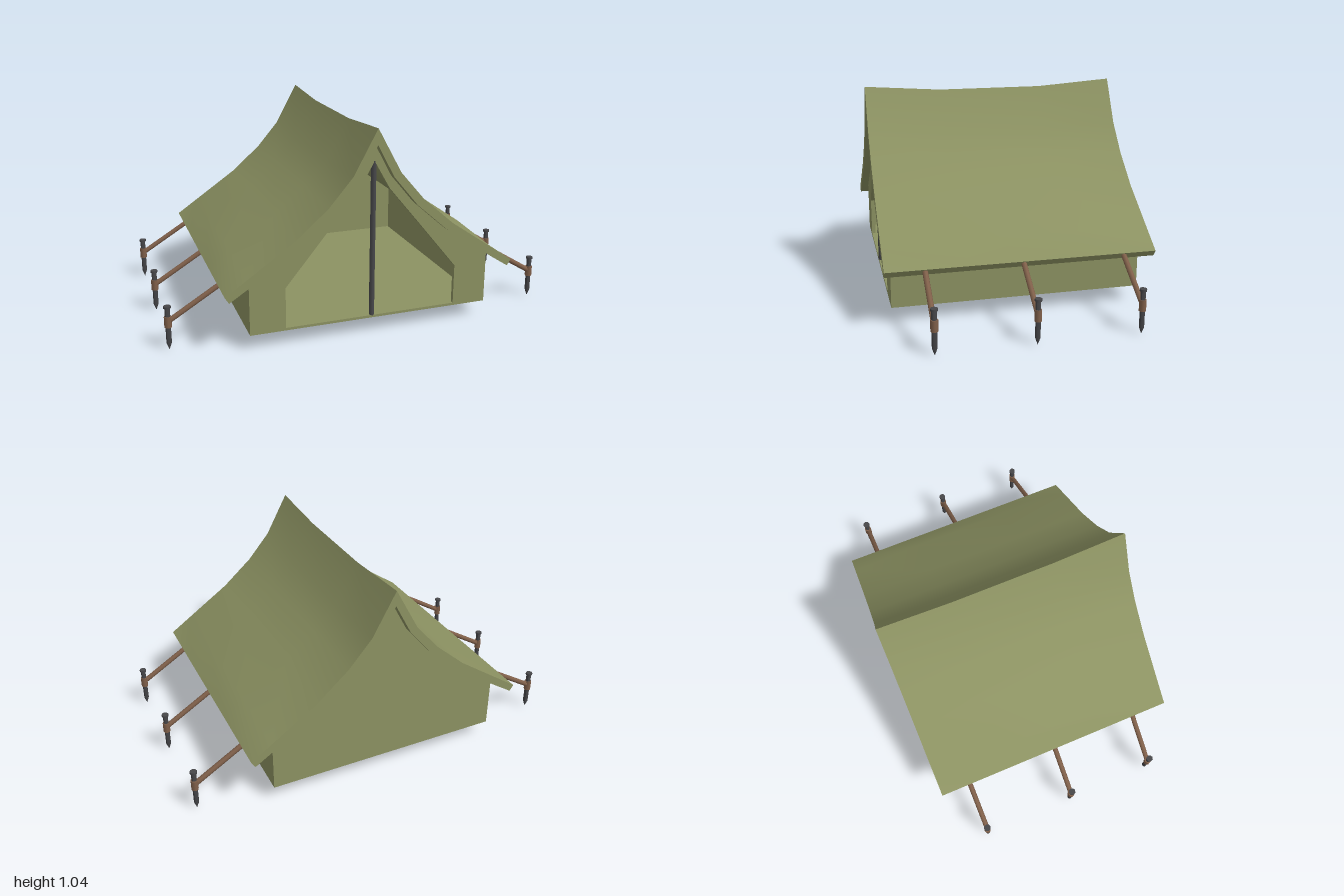
import * as THREE from 'three';
import { toCreasedNormals } from 'three/addons/utils/BufferGeometryUtils.js';

const canvas = new THREE.MeshStandardMaterial({ color: 0x8c9262, side: THREE.DoubleSide });
const wood = new THREE.MeshStandardMaterial({ color: 0x80604a });
const metal = new THREE.MeshStandardMaterial({ color: 0x47474a });

// Half profiles of the roof, ridge to eave: upper skin, lower skin, mid-tent sag
const UPPER = [[0, 1.05], [0.12, 0.83], [0.24, 0.69], [0.4, 0.55], [0.64, 0.385], [0.742, 0.315]];
const UNDER = [[0, 0.97], [0.085, 0.81], [0.21, 0.66], [0.375, 0.515], [0.62, 0.35], [0.722, 0.284]];
const SAG = [-0.028, -0.02, 0.002, 0.006, 0.025, 0];

function add(parent, name, geometry, material, x = 0, y = 0, z = 0) {
  const m = new THREE.Mesh(geometry, material);
  m.name = name;
  m.position.set(x, y, z);
  parent.add(m);
  return m;
}

// Mirrors a half profile into a left-to-right run of points
const mirrored = half => [...half.slice(1).reverse().map(([x, y]) => [-x, y]), ...half];

// Thick sagging roof made of four cross-section rings
function roofGeometry() {
  const sections = [[-0.66, 0], [-0.27, 1], [0.27, 1], [0.66, 0]];
  const pos = [], index = [];
  const sagged = (half, s) => mirrored(half.map(([x, y], i) => [x, y + SAG[i] * s]));
  for (const [z, s] of sections) {
    const ring = [...sagged(UPPER, s), ...sagged(UNDER, s).reverse()];
    for (const [x, y] of ring) pos.push(x, y, z);
  }
  const n = 22, last = n * 3;
  for (let k = 0; k < 3; k++) {
    for (let i = 0; i < n; i++) {
      const a = k * n + i, b = k * n + (i + 1) % n, c = b + n, d = a + n;
      index.push(a, d, b, d, c, b);
    }
  }
  // End faces between the two skins
  for (let i = 0; i < 10; i++) {
    const t = i, u = i + 1, v = 20 - i, w = 21 - i;
    index.push(last + t, last + w, last + v, last + t, last + v, last + u);
    index.push(t, v, w, t, u, v);
  }
  const g = new THREE.BufferGeometry();
  g.setAttribute('position', new THREE.Float32BufferAttribute(pos, 3));
  g.setIndex(index);
  return toCreasedNormals(g, Math.PI / 5);
}

// Gable wall following the underside of the roof, optionally with the doorway
function gableGeometry(withDoor) {
  const top = mirrored(UNDER.slice(0, 5).map(([x, y]) => [x, y + 0.012]));
  const shape = new THREE.Shape(
    [[-0.62, 0.087], [0.62, 0.087], ...top.reverse()].map(p => new THREE.Vector2(...p)));
  if (withDoor) {
    const door = mirrored([[0, 0.885], [0.08, 0.745], [0.25, 0.54], [0.443, 0.305], [0.443, 0.1]]);
    shape.holes.push(new THREE.Path(door.map(p => new THREE.Vector2(...p))));
  }
  return new THREE.ExtrudeGeometry(shape, { depth: 0.02, bevelEnabled: false });
}

// Peg with head, pointed tip, rope loop and the rope up to the eave
function guyLine(side, z) {
  const g = new THREE.Group();
  g.name = 'guyLine';
  const x = side * 0.98;
  const profile = [[0, 0.005], [0.013, 0.04], [0.013, 0.218], [0.018, 0.219], [0.018, 0.23], [0, 0.23]]
    .map(p => new THREE.Vector2(...p));
  const pegGeo = toCreasedNormals(new THREE.LatheGeometry(profile, 8), 0.9);
  add(g, 'peg', pegGeo, metal, x, 0, z);
  add(g, 'ropeLoop', new THREE.CylinderGeometry(0.018, 0.018, 0.055, 8), wood, x, 0.149, z);
  const start = new THREE.Vector3(x, 0.15, z), end = new THREE.Vector3(side * 0.69, 0.327, z);
  const dir = end.clone().sub(start);
  const rope = add(g, 'rope', new THREE.CylinderGeometry(0.0135, 0.0135, dir.length(), 8), wood);
  rope.position.copy(start).addScaledVector(dir, 0.5);
  rope.quaternion.setFromUnitVectors(new THREE.Vector3(0, 1, 0), dir.normalize());
  return g;
}

export function createModel() {
  const tent = new THREE.Group();
  tent.name = 'tent';

  add(tent, 'roof', roofGeometry(), canvas);

  // Walls and floor
  add(tent, 'frontWall', gableGeometry(true), canvas, 0, 0, 0.6);
  add(tent, 'backWall', gableGeometry(false), canvas, 0, 0, -0.62);
  for (const s of [-1, 1]) {
    add(tent, 'sideWall', new THREE.BoxGeometry(0.02, 0.285, 1.2), canvas, s * 0.61, 0.2295, 0);
  }
  add(tent, 'floor', new THREE.BoxGeometry(1.2, 0.013, 1.2), canvas, 0, 0.0935, 0);

  // Pole standing in the doorway
  add(tent, 'doorPole', new THREE.CylinderGeometry(0.014, 0.014, 0.79, 8), metal, 0, 0.491, 0.608);

  for (const s of [-1, 1]) {
    for (const z of [-0.5, 0, 0.47]) tent.add(guyLine(s, z));
  }
  return tent;
}
